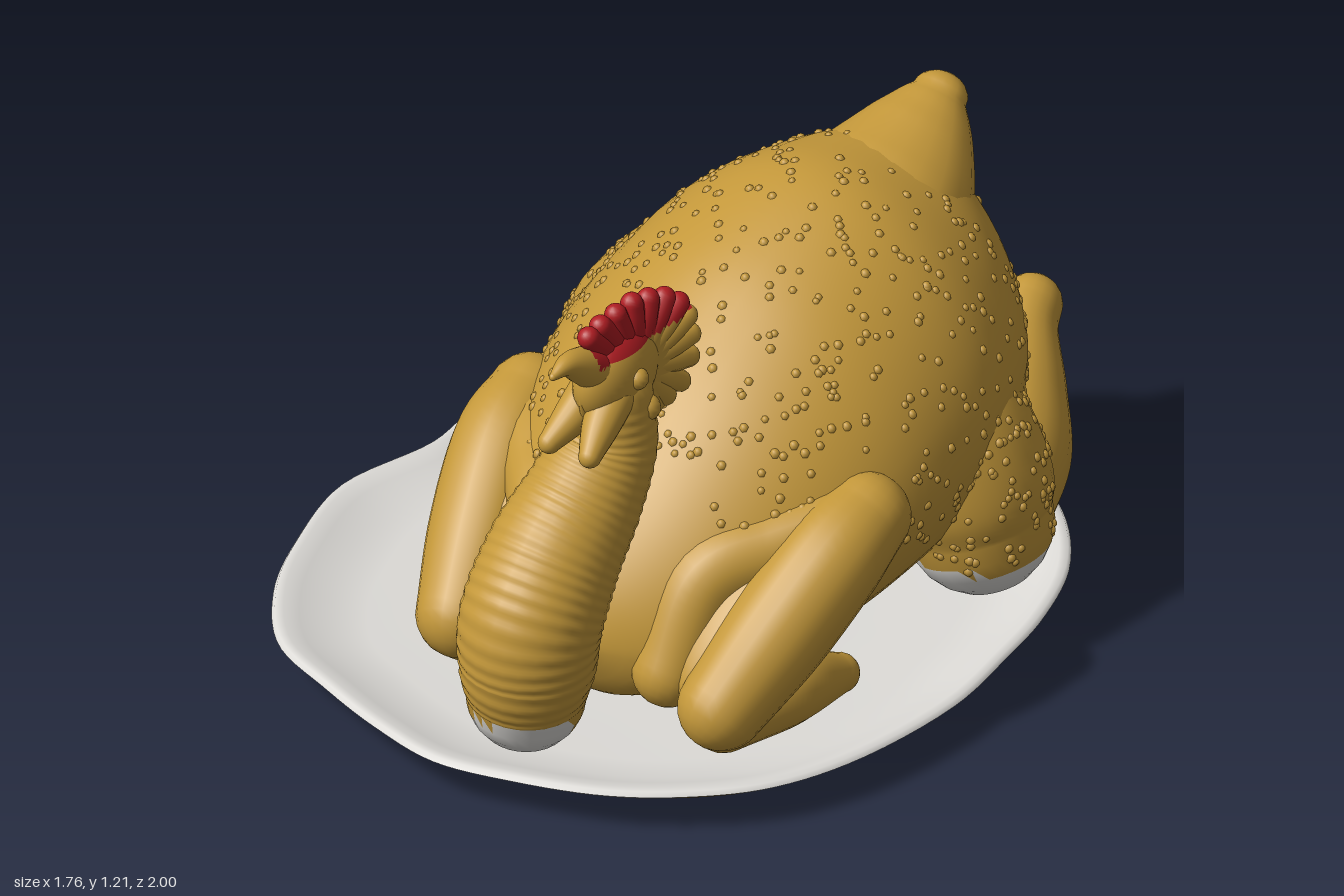
import * as THREE from 'three';
import { mergeGeometries } from 'three/addons/utils/BufferGeometryUtils.js';

const V = (x, y, z) => new THREE.Vector3(x, y, z);
const mat = (name, color) => {
  const m = new THREE.MeshStandardMaterial({ color });
  m.name = name;
  return m;
};

// Skin a list of closed rings that run counter-clockwise around the direction of travel
function skin(rings) {
  const n = rings[0].length, pos = [], idx = [];
  rings.forEach(r => r.forEach(p => pos.push(p.x, p.y, p.z)));
  for (let i = 0; i < rings.length - 1; i++) {
    for (let j = 0; j < n; j++) {
      const a = i * n + j, b = i * n + (j + 1) % n;
      idx.push(a, b, a + n, b, b + n, a + n);
    }
  }
  const g = new THREE.BufferGeometry();
  g.setAttribute('position', new THREE.Float32BufferAttribute(pos, 3));
  g.setIndex(idx);
  g.computeVertexNormals();
  return g;
}

// Round-ended limb through [x, y, z, radius] points; ripple adds skin wrinkles
function limb(pts, { steps = 24, sides = 20, ripple = 0, waves = 0 } = {}) {
  const curve = new THREE.CatmullRomCurve3(pts.map(p => V(p[0], p[1], p[2])), false, 'catmullrom', 0.5);
  const radii = new THREE.CatmullRomCurve3(pts.map((p, i) => V(i, p[3], 0)), false, 'catmullrom', 0.5);
  const frames = curve.computeFrenetFrames(steps), rings = [];
  const ring = (i, scale, push) => {
    const t = curve.getUtoTmapping(i / steps);
    const r = radii.getPoint(t).y * (1 + ripple * Math.sin(waves * Math.PI * 2 * i / steps));
    const c = curve.getPoint(t).addScaledVector(frames.tangents[i], r * push);
    rings.push(Array.from({ length: sides }, (_, j) => {
      const a = j / sides * Math.PI * 2;
      return c.clone().addScaledVector(frames.normals[i], Math.cos(a) * r * scale)
        .addScaledVector(frames.binormals[i], Math.sin(a) * r * scale);
    }));
  };
  for (let k = 6; k > 0; k--) ring(0, Math.max(0.001, Math.cos(k * Math.PI / 12)), -Math.sin(k * Math.PI / 12));
  for (let i = 0; i <= steps; i++) ring(i, 1, 0);
  for (let k = 1; k <= 6; k++) ring(steps, Math.max(0.001, Math.cos(k * Math.PI / 12)), Math.sin(k * Math.PI / 12));
  return skin(rings);
}

// Sort faces into two material groups by a test on their centres
function paint(g, test) {
  const p = g.attributes.position, ix = g.index.array, main = [], other = [];
  for (let i = 0; i < ix.length; i += 3) {
    const c = V(0, 0, 0);
    for (let k = 0; k < 3; k++) c.add(V().fromBufferAttribute(p, ix[i + k]));
    (test(c.divideScalar(3)) ? other : main).push(ix[i], ix[i + 1], ix[i + 2]);
  }
  g.setIndex([...main, ...other]);
  g.clearGroups();
  g.addGroup(0, main.length, 0);
  g.addGroup(main.length, other.length, 1);
  return g;
}

let seed = 7;
const rnd = () => (seed = (seed * 16807) % 2147483647) / 2147483647;

// Shallow pores scattered evenly over a surface
function pores(g, count, keep) {
  const p = g.attributes.position, ix = g.index.array, out = [], tri = new THREE.Triangle();
  const bead = new THREE.SphereGeometry(1, 7, 5), n = V();
  for (let tries = 0; out.length < count && tries < 60000; tries++) {
    const f = Math.floor(rnd() * ix.length / 3) * 3;
    tri.setFromAttributeAndIndices(p, ix[f], ix[f + 1], ix[f + 2]);
    if (tri.getArea() < rnd() * 0.0025) continue;
    let u = rnd(), v = rnd();
    if (u + v > 1) { u = 1 - u; v = 1 - v; }
    const c = tri.a.clone().multiplyScalar(1 - u - v).addScaledVector(tri.b, u).addScaledVector(tri.c, v);
    if (!keep(c)) continue;
    const r = 0.01 + rnd() * 0.004;
    c.addScaledVector(tri.getNormal(n), -r * 0.4);
    out.push(bead.clone().scale(r, r, r).translate(c.x, c.y, c.z));
  }
  return mergeGeometries(out);
}

export function createModel() {
  const root = new THREE.Group();
  const gold = mat('roasted skin', 0xc4983a);
  const red = mat('comb red', 0xb01c22);
  const white = mat('plate white', 0xdedcd8);
  const add = (name, geo, material = gold) => {
    const m = new THREE.Mesh(geo, material);
    m.name = name;
    root.add(m);
  };

  // Plate with a wavy outline, as an underside and a dish
  const rim = new THREE.CatmullRomCurve3([
    [0.88, 0.1], [0.86, -0.15], [0.83, -0.35], [0.75, -0.58], [0.58, -0.79], [0.3, -0.95], [0, -1],
    [-0.28, -0.94], [-0.52, -0.81], [-0.72, -0.6], [-0.81, -0.36], [-0.81, -0.18], [-0.88, 0.1],
    [-0.83, 0.36], [-0.75, 0.57], [-0.6, 0.77], [-0.4, 0.87], [-0.2, 0.95], [0, 1], [0.2, 0.97],
    [0.42, 0.9], [0.58, 0.8], [0.72, 0.66], [0.82, 0.45],
  ].map(([x, z]) => V(x, 0, z)), true).getPoints(140).slice(0, -1);
  const plate = profile => skin(profile.map(([s, y, lift = 0]) => rim.map(p => {
    const lip = Math.pow(Math.max(0, -p.x / p.length()), 4);
    const k = s + (0.98 - s) * lip * lift;
    return V(p.x * k, y, p.z * k);
  })));
  add('plateUnderside', paint(plate([[0.001, 0], [0.4, 0], [0.7, 0, 0.8], [0.8, 0.018, 0.85], [0.87, 0.037, 0.85],
    [0.92, 0.057, 0.85], [0.965, 0.077, 0.85], [1, 0.1]]),
  c => c.y > 0.05 && (Math.hypot(c.x - 0.6, c.z - 0.73) < 0.08 || Math.hypot(c.x + 0.5, c.z - 0.76) < 0.06)), [white, gold]);
  add('plateDish', plate([[1, 0.1], [0.992, 0.112], [0.97, 0.112], [0.93, 0.1], [0.86, 0.072], [0.76, 0.058], [0.4, 0.052], [0.001, 0.052]]), white);

  // Body from egg-shaped cross-sections: z, centre x, half width, bottom, top
  const sections = [
    [-0.825, 0.18, 0.005, 0.73, 0.75], [-0.815, 0.18, 0.13, 0.55, 0.87], [-0.77, 0.18, 0.27, 0.36, 0.98],
    [-0.69, 0.17, 0.38, 0.23, 1.05], [-0.55, 0.16, 0.48, 0.13, 1.085], [-0.35, 0.155, 0.54, 0.08, 1.1],
    [-0.1, 0.15, 0.55, 0.07, 1.02], [0.1, 0.15, 0.52, 0.07, 0.91], [0.28, 0.15, 0.45, 0.08, 0.78],
    [0.45, 0.15, 0.34, 0.1, 0.62], [0.57, 0.15, 0.2, 0.14, 0.46], [0.64, 0.15, 0.01, 0.28, 0.3],
  ];
  const across = new THREE.CatmullRomCurve3(sections.map(s => V(s[0], s[1], s[2])), false, 'catmullrom', 0.5);
  const upright = new THREE.CatmullRomCurve3(sections.map(s => V(s[0], s[3], s[4])), false, 'catmullrom', 0.5);
  const body = skin(Array.from({ length: 56 }, (_, i) => {
    const a = across.getPoint(i / 55), u = upright.getPoint(i / 55);
    return Array.from({ length: 48 }, (_, j) => {
      const t = j / 48 * Math.PI * 2, narrow = 1 - 0.15 * Math.max(0, Math.sin(t));
      return V(a.y + a.z * narrow * Math.cos(t), (u.y + u.z) / 2 + (u.z - u.y) / 2 * Math.sin(t), a.x);
    });
  }));
  add('body', body);
  add('bodyPores', pores(body, 750, c => c.y > 0.35 && c.z < 0.4));

  // Broad tapering tail and the pair of beads below it
  add('tail', limb([[0, 0.88, -0.56, 0.2], [0, 0.95, -0.68, 0.165], [0, 1.02, -0.775, 0.115], [0, 1.06, -0.825, 0.08], [0, 1.08, -0.852, 0.058]])
    .scale(1.25, 1, 1).translate(0.19, 0, 0));
  for (const s of [-1, 1]) {
    add('ventBead', new THREE.SphereGeometry(0.032, 14, 10).translate(0.18 + s * 0.033, 0.79 + s * 0.01, -0.815));
  }

  for (const s of [-1, 1]) {
    // Thighs and drumsticks
    const leg = pts => pts.map(([x, y, z, r]) => [0.1 + s * x, y, z, r]);
    const notKnee = c => s > 0 && c.y < 0.21;
    const thigh = limb(leg([[0.33, 0.62, -0.37, 0.19], [0.42, 0.48, -0.395, 0.208], [0.475, 0.35, -0.41, 0.207], [0.5, 0.265, -0.415, 0.182]]),
      { steps: 30, sides: 32 });
    add('thigh', paint(thigh, notKnee), [gold, white]);
    add('thighPores', pores(thigh, 150, c => c.y > 0.22 && c.z > -0.56 && s * (c.x - 0.1) > 0.42));
    add('drumstick', paint(limb(leg([[0.48, 0.25, -0.45, 0.16], [0.44, 0.335, -0.6, 0.168], [0.38, 0.42, -0.74, 0.13],
      [0.325, 0.505, -0.86, 0.086], [0.305, 0.535, -0.925, 0.075]]), { steps: 30 }), notKnee), [gold, white]);

    // Folded wings with a web of skin in the bend
    const wing = pts => pts.map(([x, y, z, r]) => [0.155 + s * x, y, z, r]);
    add('wingForearm', limb(wing([[0.48, 0.55, 0.11, 0.108], [0.465, 0.49, 0.24, 0.127], [0.42, 0.35, 0.41, 0.127], [0.375, 0.215, 0.565, 0.106]])));
    add('wingUpperArm', limb(wing([[0.44, 0.54, 0.16, 0.09], [0.33, 0.5, 0.28, 0.1], [0.22, 0.44, 0.41, 0.105], [0.2, 0.24, 0.53, 0.09]])));
    add('wingTip', limb(wing([[0.37, 0.17, 0.55, 0.08], [0.42, 0.18, 0.36, 0.092], [0.45, 0.14, 0.18, 0.05]])));
    add('wingWeb', new THREE.SphereGeometry(1, 24, 16).scale(0.17, 0.08, 0.26)
      .rotateX(0.74).translate(0.155 + s * 0.32, 0.38, 0.4));
  }

  // Wrinkled neck
  add('neck', paint(limb([[0.13, 0.24, 0.8, 0.145], [0.14, 0.33, 0.81, 0.165], [0.145, 0.45, 0.8, 0.172], [0.15, 0.58, 0.715, 0.163],
    [0.165, 0.7, 0.605, 0.143], [0.18, 0.82, 0.53, 0.121], [0.19, 0.95, 0.52, 0.095]],
  { steps: 150, sides: 28, ripple: 0.01, waves: 28 }), c => c.y < 0.21 && c.z > 0.79), [gold, white]);

  // Head, eyes, open beak and wattles
  const crown = c => c.y > 1.085 && c.z < 0.64;
  const head = new THREE.SphereGeometry(1, 40, 32).scale(0.08, 0.12, 0.14).translate(0.195, 1.01, 0.52);
  add('head', paint(head, crown), [gold, red]);
  add('upperBeak', paint(limb([[0.19, 1.05, 0.59, 0.055], [0.187, 1.09, 0.65, 0.046], [0.185, 1.12, 0.71, 0.028], [0.183, 1.115, 0.765, 0.01]]), crown), [gold, red]);
  for (const s of [-1, 1]) {
    add('wattle', limb([[0.19 + s * 0.03, 0.97, 0.57, 0.055], [0.19 + s * 0.042, 0.925, 0.64, 0.045], [0.19 + s * 0.058, 0.885, 0.705, 0.028]]));
    add('eye', new THREE.SphereGeometry(0.028, 14, 10).translate(0.195 + s * 0.07, 1.02, 0.53));
    add('cheek', new THREE.SphereGeometry(0.034, 14, 10).translate(0.195 + s * 0.07, 0.92, 0.49));
  }

  // Comb: a thin disc with rounded teeth fanned around it, given as [z, y] tips, leaning left at the back
  const tips = [[0.645, 1.175], [0.6, 1.192], [0.54, 1.203], [0.476, 1.21], [0.41, 1.195], [0.345, 1.168], [0.29, 1.125],
    [0.258, 1.07], [0.245, 1.005], [0.25, 0.938], [0.285, 0.875], [0.34, 0.855]];
  const leanX = z => 0.215 - (z - 0.45) * 0.14;
  const disc = new THREE.SphereGeometry(1, 40, 40).scale(0.031, 0.185, 0.19).rotateY(-0.14).translate(leanX(0.47), 1, 0.47);
  disc.deleteAttribute('uv');
  const teeth = tips.map(([z, y]) => {
    const tip = V(leanX(z), y, z), hub = V(leanX(0.47), 1.0, 0.47);
    const end = tip.clone().lerp(hub, 0.028 / tip.distanceTo(hub)), mid = end.clone().lerp(hub, 0.35);
    return limb([[...hub, 0.025], [...mid, 0.031], [...end, 0.028]], { steps: 20, sides: 12 });
  });
  add('comb', paint(mergeGeometries([disc, ...teeth]), c => c.y > 1.085), [gold, red]);

  return root;
}
